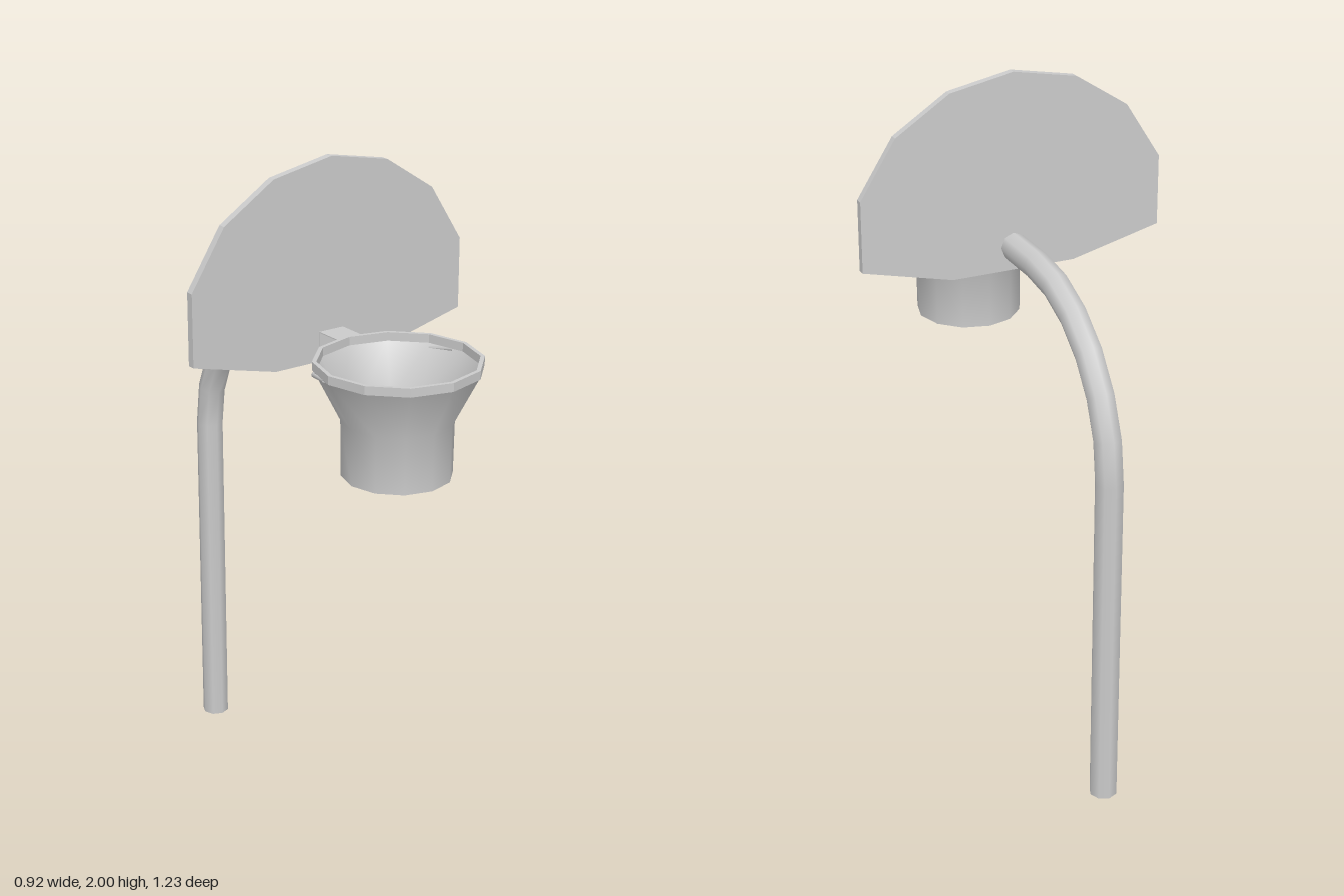
import * as THREE from 'three';

// Path straight through the given points, one tube ring per point
class Polyline extends THREE.Curve {
  constructor(points) {
    super();
    this.points = points;
  }
  getUtoTmapping(u) {
    return u;
  }
  getPoint(t, target = new THREE.Vector3()) {
    const n = this.points.length - 1;
    const i = Math.min(Math.floor(t * n + 1e-9), n - 1);
    return target.lerpVectors(this.points[i], this.points[i + 1], t * n - i);
  }
}

const v3 = (x, y, z) => new THREE.Vector3(x, y, z);
const v2 = (x, y) => new THREE.Vector2(x, y);

function tube(points, radius, sides) {
  return new THREE.TubeGeometry(new Polyline(points), points.length - 1, radius, sides);
}

export function createModel() {
  const group = new THREE.Group();
  const smooth = new THREE.MeshStandardMaterial({ color: 0xcccccc, side: THREE.DoubleSide });
  const flat = new THREE.MeshStandardMaterial({ color: 0xcccccc, flatShading: true });

  function add(name, geometry, material) {
    const mesh = new THREE.Mesh(geometry, material);
    mesh.name = name;
    group.add(mesh);
    return mesh;
  }

  // Gooseneck pole: upright, quarter bend in six steps, then level to the board
  const bend = 0.465, bendY = 1.02, bendZ = -0.11;
  const path = [v3(0, 0, bendZ - bend)];
  for (let i = 0; i <= 6; i++) {
    const a = (i / 6) * Math.PI / 2;
    path.push(v3(0, bendY + bend * Math.sin(a), bendZ - bend * Math.cos(a)));
  }
  path.push(v3(0, bendY + bend, 0.05));
  add('pole', tube(path, 0.041, 8), smooth);

  // Fan-shaped backboard, mirrored from its right half outline
  const half = [[0.19, 1.413], [0.462, 1.48], [0.462, 1.69], [0.355, 1.858], [0.193, 1.963]];
  const outline = [
    ...half.map(([x, y]) => v2(x, y)),
    v2(0, 2),
    ...half.map(([x, y]) => v2(-x, y)).reverse(),
  ];
  const board = new THREE.ExtrudeGeometry(new THREE.Shape(outline), { depth: 0.023, bevelEnabled: false });
  add('backboard', board.translate(0, 0, 0.046), flat);

  // Hoop: twelve-sided band
  const rimProfile = [v2(0.225, 1.477), v2(0.237, 1.477), v2(0.237, 1.502), v2(0.225, 1.502), v2(0.225, 1.477)];
  add('rim', new THREE.LatheGeometry(rimProfile, 12), flat).position.z = 0.38;

  // Open net, tapering to a straight sleeve
  const netProfile = [v2(0.157, 1.165), v2(0.159, 1.33), v2(0.234, 1.478)];
  add('net', new THREE.LatheGeometry(netProfile, 12), smooth).position.z = 0.38;

  // Folded sheet bracket: top plate and back plate
  const top = new THREE.BoxGeometry(0.082, 0.003, 0.088);
  add('bracketTop', top.translate(0, 1.5, 0.112), flat);
  const back = new THREE.BoxGeometry(0.082, 0.08, 0.003);
  add('bracketBack', back.translate(0, 1.461, 0.071), flat);

  // Thin braces from the board out to the sides of the rim
  for (const [name, s] of [['leftBrace', 1], ['rightBrace', -1]]) {
    const points = [
      v3(s * 0.012, 1.43, 0.07),
      v3(s * 0.11, 1.444, 0.168),
      v3(s * 0.198, 1.461, 0.258),
      v3(s * 0.222, 1.474, 0.34),
    ];
    add(name, tube(points, 0.006, 5), smooth);
  }

  return group;
}
